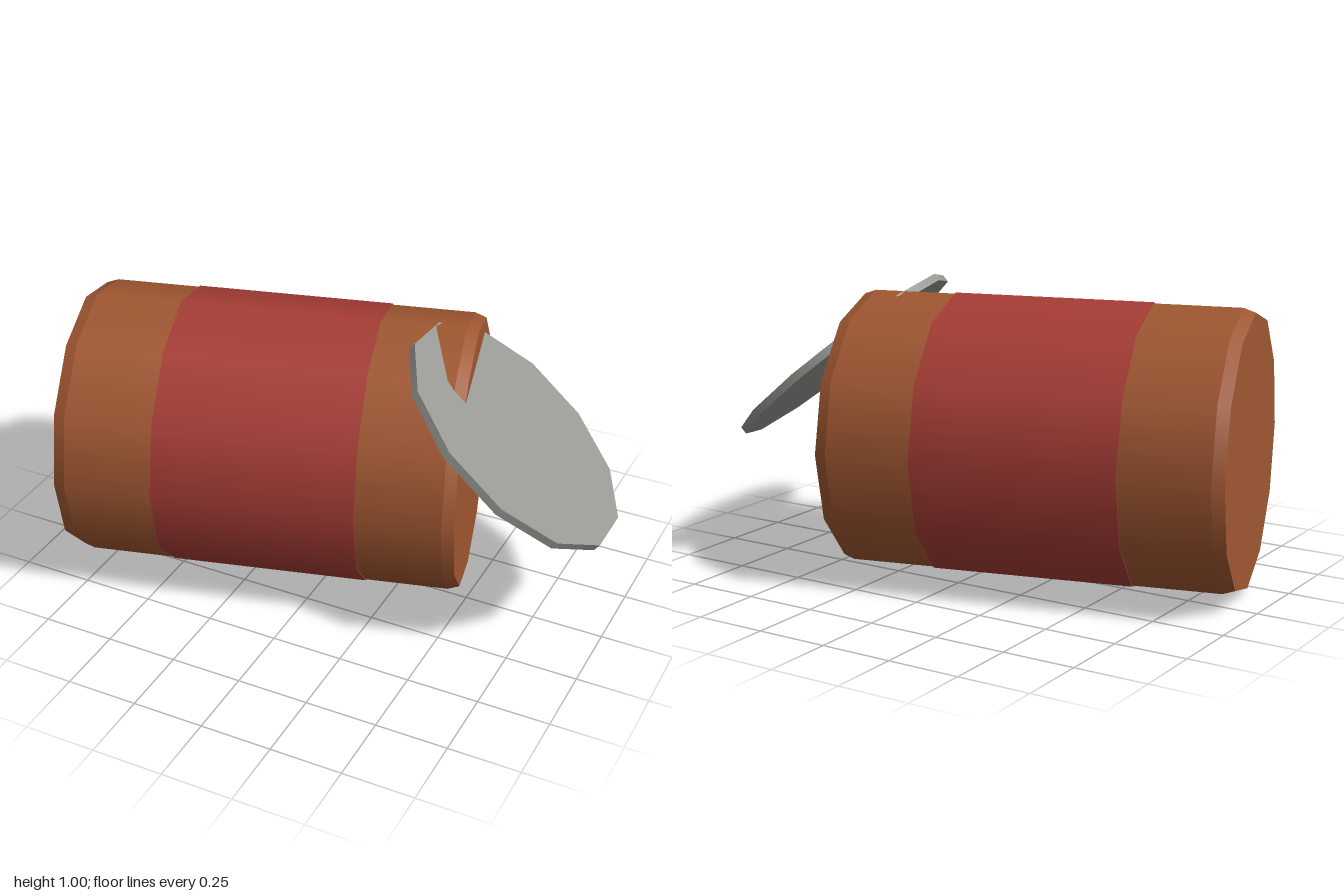
import * as THREE from 'three';

const SIDES = 12;
const RADIUS = 0.482;
const HALF_LENGTH = 0.68;
const BEVEL = 0.04;

const copper = new THREE.MeshStandardMaterial({ color: 0xa05731 });
copper.name = 'copper';
const redLabel = new THREE.MeshStandardMaterial({ color: 0xa63c35 });
redLabel.name = 'red label';
const greyMetal = new THREE.MeshStandardMaterial({ color: 0x989a94 });
greyMetal.name = 'grey metal';

// Twelve-sided cylinder whose axis runs along x
function barrel(name, rightRadius, leftRadius, length, x, material, open = false) {
  const geometry = new THREE.CylinderGeometry(rightRadius, leftRadius, length, SIDES, 1, open);
  geometry.rotateZ(-Math.PI / 2);
  const mesh = new THREE.Mesh(geometry, material);
  mesh.name = name;
  mesh.position.x = x;
  return mesh;
}

export function createModel() {
  const model = new THREE.Group();
  model.name = 'openCan';

  // Everything is laid out along the can's axis, then the can is turned a little
  const can = new THREE.Group();
  can.name = 'can';
  can.position.set(-0.225, 0.486, 0);
  can.rotation.y = THREE.MathUtils.degToRad(15);
  model.add(can);

  // Body and the wider label wrapped around its middle
  can.add(barrel('body', RADIUS, RADIUS, 2 * (HALF_LENGTH - BEVEL), 0, copper, true));
  can.add(barrel('label', 0.486, 0.486, 0.69, 0.005, redLabel));

  // Bevelled rim and flat face at each end
  for (const side of [-1, 1]) {
    const inner = 0.468;
    can.add(barrel(
      side > 0 ? 'openEndRim' : 'baseRim',
      side > 0 ? inner : RADIUS,
      side > 0 ? RADIUS : inner,
      BEVEL, side * (HALF_LENGTH - BEVEL / 2), copper, true
    ));
    const face = new THREE.Mesh(
      new THREE.CircleGeometry(inner, SIDES).rotateY(side * Math.PI / 2), copper);
    face.name = side > 0 ? 'openEndFace' : 'baseFace';
    face.position.x = side * HALF_LENGTH;
    can.add(face);
  }

  // Loose lid, tilted and cutting into the upper edge of the can
  const thickness = 0.028;
  const lid = new THREE.Mesh(
    new THREE.CylinderGeometry(0.459, 0.459, thickness, SIDES).translate(0, -thickness / 2, 0),
    greyMetal);
  lid.name = 'lid';
  lid.position.set(0.847, 0.222, 0.193);
  lid.rotation.z = THREE.MathUtils.degToRad(-40);
  can.add(lid);

  return model;
}
